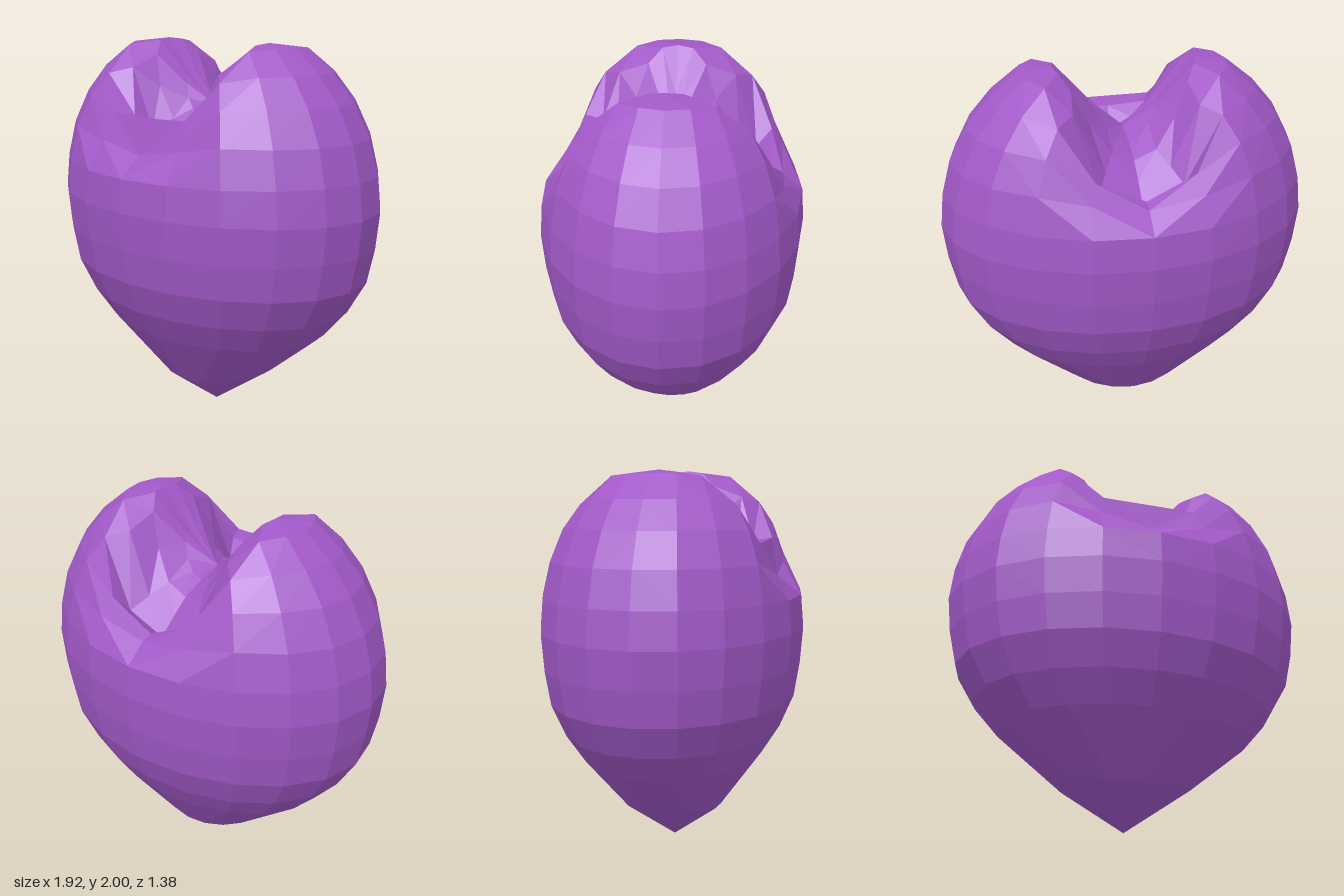
import * as THREE from 'three';

const SIDES = 20;
const DEPTH = 0.72; // depth of each ring relative to its width

// Lower body rings: [half width, height at the sides, height at the middle]
const BODY = [
  [0.36, 0.25, 0.19], [0.67, 0.5, 0.5], [0.8, 0.65, 0.65], [0.9, 0.82, 0.82],
  [0.94, 1.0, 1.0], [0.96, 1.19, 1.19], [0.94, 1.37, 1.36],
];

// Lobe rings, from the outer shoulder over the crest and down into the cleft.
// y: heights at 0, 18, 36 and 54 degrees from the side;
// front/back: heights at 72 and 90 degrees, then the depth there
const LOBES = [
  { r: 0.89, y: [1.55, 1.55, 1.55, 1.55], front: [1.51, 1.46, 0.55], back: [1.5, 1.45, 0.57] },
  { r: 0.8, y: [1.72, 1.72, 1.72, 1.71], front: [1.64, 1.64, 0.49], back: [1.59, 1.47, 0.51] },
  { r: 0.68, y: [1.86, 1.86, 1.86, 1.83], front: [1.63, 1.62, 0.39], back: [1.5, 1.42, 0.43] },
  { r: 0.53, y: [1.98, 1.98, 1.97, 1.86], front: [1.55, 1.52, 0.31], back: [1.56, 1.5, 0.34] },
  { r: 0.36, y: [2.0, 1.99, 1.92, 1.76], front: [1.6, 1.56, 0.21], back: [1.62, 1.57, 0.25] },
  { r: 0.18, y: [1.8, 1.8, 1.77, 1.7], front: [1.65, 1.62, 0.12], back: [1.65, 1.62, 0.13] },
];

function bodyRing([r, side, middle]) {
  return Array.from({ length: SIDES }, (_, i) => {
    const t = (i / SIDES) * Math.PI * 2;
    const s = Math.sin(t);
    return [r * Math.cos(t), side + (middle - side) * s * s, r * DEPTH * s];
  });
}

function lobeRing({ r, y, front, back }) {
  return Array.from({ length: SIDES }, (_, i) => {
    const t = (i / SIDES) * Math.PI * 2;
    const half = i % 10;
    const step = Math.min(half, 10 - half); // steps away from the side
    const x = r * Math.cos(t);
    if (step < 4) return [x, y[step], r * DEPTH * Math.sin(t)];
    const cleft = i < 10 ? front : back;
    return [x, cleft[step - 4], i < 10 ? cleft[2] : -cleft[2]];
  });
}

function heartGeometry() {
  const rings = [...BODY.map(bodyRing), ...LOBES.map(lobeRing)];
  const points = rings.flat();
  const tip = points.push([0, 0, 0]) - 1;
  const cleftCentre = points.push([0, 1.66, 0]) - 1;
  const last = (rings.length - 1) * SIDES;
  const index = [];
  for (let i = 0; i < SIDES; i++) {
    const j = (i + 1) % SIDES;
    index.push(tip, i, j);
    for (let base = 0; base < last; base += SIDES) {
      const a = base + i, b = base + j, c = b + SIDES, d = a + SIDES;
      // mirror the diagonal so left and right match
      if (i % 10 < 5) index.push(a, d, b, b, d, c);
      else index.push(a, c, b, a, d, c);
    }
    index.push(last + i, cleftCentre, last + j);
  }
  const geometry = new THREE.BufferGeometry();
  geometry.setAttribute('position', new THREE.Float32BufferAttribute(points.flat(), 3));
  geometry.setIndex(index);
  const faceted = geometry.toNonIndexed();
  faceted.computeVertexNormals();
  return faceted;
}

export function createModel() {
  const model = new THREE.Group();
  model.name = 'heart';
  const material = new THREE.MeshStandardMaterial({ color: 0xa259c8, flatShading: true });
  const body = new THREE.Mesh(heartGeometry(), material);
  body.name = 'heartBody';
  model.add(body);
  return model;
}
